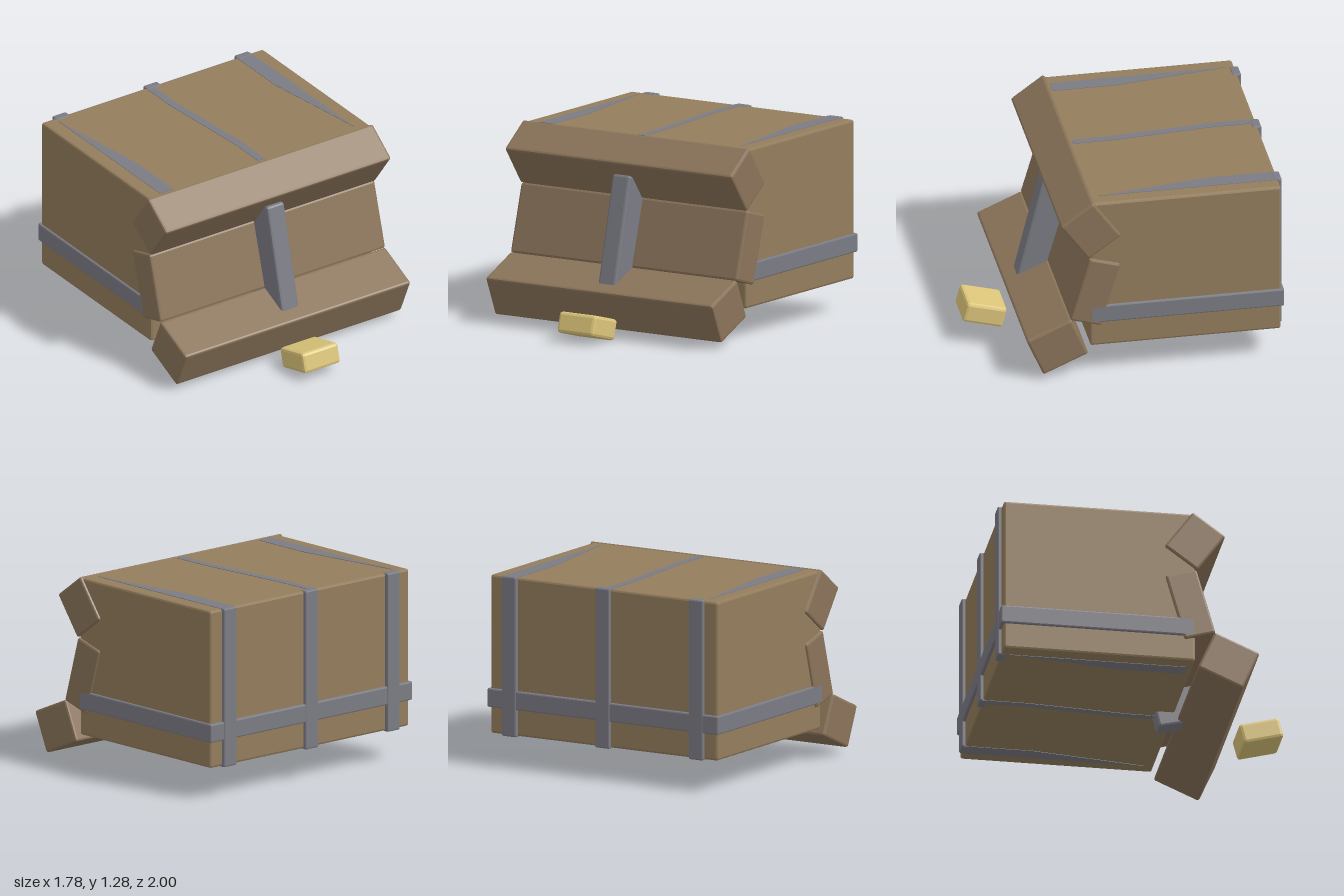
import * as THREE from 'three';
import { RoundedBoxGeometry } from 'three/addons/geometries/RoundedBoxGeometry.js';

const paint = (color) => new THREE.MeshStandardMaterial({ color, flatShading: true });

export function createModel() {
  const model = new THREE.Group();
  const crateWood = paint(0x947d5d);
  const plankWood = paint(0x8b745a);
  const iron = paint(0x7b7b84);
  const brass = paint(0xdcc57a);

  // Box with a single chamfer, centred at (x, y, z) and tilted about x
  function block(name, material, size, position, tilt = 0, chamfer = 0.015) {
    const mesh = new THREE.Mesh(new RoundedBoxGeometry(...size, 1, chamfer), material);
    mesh.name = name;
    mesh.position.set(...position);
    mesh.rotation.x = tilt;
    model.add(mesh);
    return mesh;
  }

  // Main body
  block('crateBody', crateWood, [1.75, 1.055, 1.265], [0, 0.7525, -0.3425]);

  // Iron band around the sides and back
  block('horizontalBand', iron, [1.78, 0.125, 1.285], [0, 0.463, -0.3525], 0, 0.01);

  // Upright straps on the back
  for (const x of [-0.72, 0, 0.72]) {
    block('backStrap', iron, [0.11, 1.065, 0.06], [x, 0.7525, -0.97], 0, 0.01);
  }

  // Half-sunken straps, exposed on the top and the underside: [x, z] outlines
  const exposed = [
    [[-0.775, -0.92], [-0.67, -0.18], [-0.67, 0.25], [-0.775, 0.25]],
    [[-0.055, -0.98], [0, -0.98], [0, -0.69], [0.053, -0.02], [0.053, 0.25], [0, 0.25], [0, 0], [-0.055, -0.69]],
    [[0.665, -0.98], [0.775, -0.98], [0.775, 0.22], [0.665, -0.53]],
  ];
  for (const outline of exposed) {
    const shape = new THREE.Shape(outline.map(([x, z]) => new THREE.Vector2(x, -z)));
    const geometry = new THREE.ExtrudeGeometry(shape, { depth: 0.008, bevelEnabled: false });
    geometry.rotateX(-Math.PI / 2);
    for (const y of [1.275, 0.222]) {
      const strap = new THREE.Mesh(geometry, iron);
      strap.name = y > 1 ? 'topStrap' : 'undersideStrap';
      strap.position.y = y;
      model.add(strap);
    }
  }

  // Three tilted beams across the front
  block('upperBeam', plankWood, [1.78, 0.32, 0.27], [0, 1.083, 0.288], 0.63);
  block('middleBeam', plankWood, [1.78, 0.465, 0.215], [0, 0.627, 0.258], -0.28);
  block('lowerBeam', plankWood, [1.78, 0.285, 0.325], [0, 0.243, 0.51], 0.41);

  // Slanted iron bar through the beams
  block('frontBar', iron, [0.135, 0.84, 0.48], [0, 0.583, 0.32], -0.24);

  // Brass latch in front
  block('latch', brass, [0.285, 0.14, 0.275], [0, 0.108, 0.85], -0.26, 0.02);

  return model;
}
